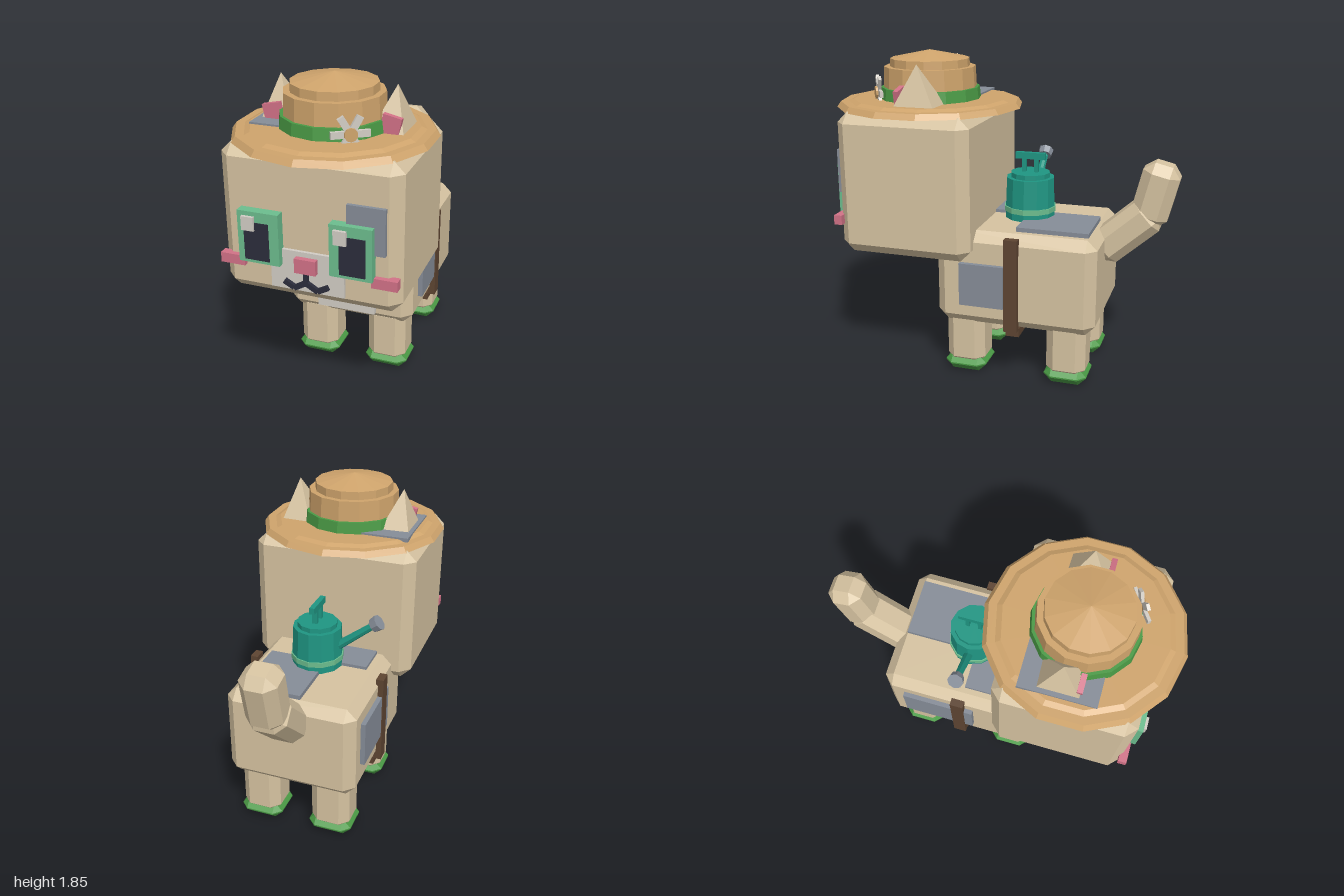
import * as THREE from 'three';
import { ConvexGeometry } from 'three/addons/geometries/ConvexGeometry.js';

const paint = (name, color) => {
  const m = new THREE.MeshStandardMaterial({ color });
  m.name = name;
  m.flatShading = true;
  return m;
};

export function createModel() {
  const model = new THREE.Group();
  model.name = 'catWithHat';

  const fur = paint('fur', 0xd6c3a1);
  const straw = paint('straw', 0xcfa46c);
  const green = paint('green', 0x4a9a45);
  const mint = paint('mint', 0x6cbd8e);
  const dark = paint('dark', 0x2c2d3b);
  const pink = paint('pink', 0xd27287);
  const brown = paint('brown', 0x5e4532);
  const teal = paint('teal', 0x1f9683);
  const grey = paint('grey', 0x868d98);
  const cream = paint('cream', 0xd2cdc5);

  const add = (name, geo, mat, x = 0, y = 0, z = 0, parent = model) => {
    const mesh = new THREE.Mesh(geo, mat);
    mesh.name = name;
    mesh.position.set(x, y, z);
    parent.add(mesh);
    return mesh;
  };

  // Box given by its limits
  const box = (name, mat, x0, x1, y0, y1, z0, z1) =>
    add(name, new THREE.BoxGeometry(x1 - x0, y1 - y0, z1 - z0), mat,
      (x0 + x1) / 2, (y0 + y1) / 2, (z0 + z1) / 2);

  // Box with flat-cut edges and corners
  const chamferBox = (w, h, d, c) => {
    const pts = [];
    for (const sx of [-1, 1]) for (const sy of [-1, 1]) for (const sz of [-1, 1])
      for (let k = 0; k < 3; k++)
        pts.push(new THREE.Vector3(
          sx * (w / 2 - (k === 0 ? 0 : c)),
          sy * (h / 2 - (k === 1 ? 0 : c)),
          sz * (d / 2 - (k === 2 ? 0 : c))));
    return new ConvexGeometry(pts);
  };

  // Body and head
  add('body', chamferBox(0.76, 0.56, 0.925, 0.057), fur, 0, 0.61, -0.165);
  add('head', chamferBox(0.97, 0.81, 0.775, 0.06), fur, 0, 1.135, 0.452);
  box('chest', cream, -0.175, 0.175, 0.395, 0.78, 0.28, 0.33);

  // Legs and shoes
  for (const x of [-0.215, 0.215]) for (const z of [0.147, -0.455]) {
    add('leg', chamferBox(0.23, 0.36, 0.23, 0.05), fur, x, 0.22, z);
    add('shoe', chamferBox(0.255, 0.1, 0.25, 0.046), green, x, 0.05, z);
  }

  // Tail in two segments
  add('tailBase', chamferBox(0.225, 0.42, 0.21, 0.055), fur, 0, 0.868, -0.735).rotation.x = -0.84;
  add('tailTip', chamferBox(0.21, 0.36, 0.21, 0.055), fur, 0, 1.095, -0.888).rotation.x = -0.24;

  // Strap round the body
  for (const s of [-1, 1])
    box('sideStrap', brown, s * 0.39 - 0.022, s * 0.39 + 0.022, 0.33, 0.875, -0.198, -0.12);
  box('bellyStrap', brown, -0.367, 0.367, 0.285, 0.335, -0.198, -0.12);

  // Grey patches
  box('patchLeft', grey, 0.36, 0.407, 0.46, 0.71, -0.115, 0.145);
  box('patchRight', grey, -0.407, -0.36, 0.5, 0.765, -0.5, -0.07);
  box('patchBackLarge', grey, -0.055, 0.29, 0.87, 0.915, -0.57, -0.158);
  box('patchBackSmall', grey, -0.29, -0.04, 0.87, 0.908, -0.14, 0.09);
  box('patchHeadTop', grey, -0.41, -0.07, 1.53, 1.585, 0.19, 0.61);
  box('patchForehead', grey, 0.215, 0.415, 1.07, 1.32, 0.82, 0.86);

  // Face
  box('muzzle', cream, -0.2, 0.2, 0.8, 1.022, 0.82, 0.857);
  box('nose', pink, -0.058, 0.058, 0.915, 0.995, 0.84, 0.887);
  for (const s of [-1, 1]) {
    const e = s * 0.247, p = s * 0.256, c = s * 0.413;
    box('eyeFrame', mint, e - 0.112, e + 0.112, 0.937, 1.22, 0.82, 0.892);
    box('pupil', dark, p - 0.068, p + 0.068, 0.955, 1.163, 0.888, 0.897);
    box('cheek', pink, c - 0.068, c + 0.068, 0.895, 0.95, 0.82, 0.868);
    const inner = add('mouthInner', new THREE.BoxGeometry(0.078, 0.027, 0.02), dark, s * 0.031, 0.842, 0.873);
    inner.rotation.z = -s * 0.53;
    const outer = add('mouthOuter', new THREE.BoxGeometry(0.062, 0.027, 0.02), dark, s * 0.092, 0.84, 0.873);
    outer.rotation.z = s * 0.5;
  }
  box('mouthStem', dark, -0.012, 0.012, 0.85, 0.92, 0.863, 0.883);
  for (const x of [-0.297, 0.196])
    box('eyeGlint', cream, x - 0.034, x + 0.034, 1.12, 1.196, 0.89, 0.909);

  // Ears: four-sided pyramids leaning outwards, with a pink plate in front
  for (const s of [-1, 1]) {
    const cone = new THREE.ConeGeometry(Math.SQRT2, 0.3, 4).rotateY(Math.PI / 4)
      .scale(0.115, 1, 0.158);
    add('ear', cone, fur, s * 0.309, 1.65, 0.4).rotation.z = -s * 0.075;
    add('innerEar', new THREE.BoxGeometry(0.1, 0.12, 0.03), pink, s * 0.318, 1.607, 0.505)
      .rotation.z = -s * 0.21;
  }

  // Straw hat
  const hat = new THREE.Group();
  hat.name = 'hat';
  hat.position.set(0, 0, 0.45);
  model.add(hat);
  const lathe = pts => new THREE.LatheGeometry(pts.map(p => new THREE.Vector2(...p)), 14);
  add('hatBrim', lathe([[0, 1.53], [0.543, 1.53], [0.52, 1.562], [0.475, 1.562],
    [0.445, 1.575], [0, 1.575]]), straw, 0, 0, 0, hat);
  add('hatCrown', lathe([[0.275, 1.56], [0.266, 1.757], [0.232, 1.757], [0.23, 1.803],
    [0, 1.85]]), straw, 0, 0, 0, hat);
  add('hatBand', lathe([[0.296, 1.57], [0.288, 1.64], [0.26, 1.64]]), green, 0, 0, 0, hat);

  // Flower on the band
  const flower = new THREE.Group();
  flower.name = 'flower';
  flower.position.set(0.178, 1.616, 0.698);
  flower.rotation.y = 0.6;
  model.add(flower);
  for (let i = 0; i < 6; i++) {
    const a = i * Math.PI / 3;
    add('petal', new THREE.BoxGeometry(0.07, 0.036, 0.018), cream,
      Math.cos(a) * 0.065, Math.sin(a) * 0.065, 0, flower).rotation.z = a;
  }
  add('flowerCentre', new THREE.CylinderGeometry(0.035, 0.035, 0.03, 10).rotateX(Math.PI / 2),
    straw, 0, 0, 0.006, flower);

  // Watering can
  const can = new THREE.Group();
  can.name = 'wateringCan';
  can.position.set(0, 0, -0.16);
  model.add(can);
  const drum = (name, mat, rTop, rBottom, y0, y1) =>
    add(name, new THREE.CylinderGeometry(rTop, rBottom, y1 - y0, 12), mat, 0, (y0 + y1) / 2, 0, can);
  drum('canBase', teal, 0.146, 0.146, 0.9, 0.942);
  drum('canStripe', mint, 0.153, 0.153, 0.942, 0.972);
  drum('canBody', teal, 0.14, 0.146, 0.972, 1.14);
  drum('canShoulder', teal, 0.115, 0.115, 1.14, 1.168);
  for (const s of [-1, 1])
    add('handlePost', new THREE.BoxGeometry(0.03, 0.09, 0.022), teal, 0, 1.205, s * 0.036, can);
  add('handleBar', new THREE.BoxGeometry(0.03, 0.038, 0.175), teal, 0, 1.262, 0, can);

  // Spout pointing right and up, with a grey rose at its end
  const spout = new THREE.Group();
  spout.name = 'spout';
  spout.position.set(-0.1, 1.01, 0);
  spout.rotation.z = 0.9;
  can.add(spout);
  add('spoutPipe', new THREE.CylinderGeometry(0.02, 0.027, 0.3, 8), teal, 0, 0.15, 0, spout);
  add('spoutRose', new THREE.CylinderGeometry(0.046, 0.04, 0.045, 8), grey, 0, 0.315, 0, spout);

  return model;
}
